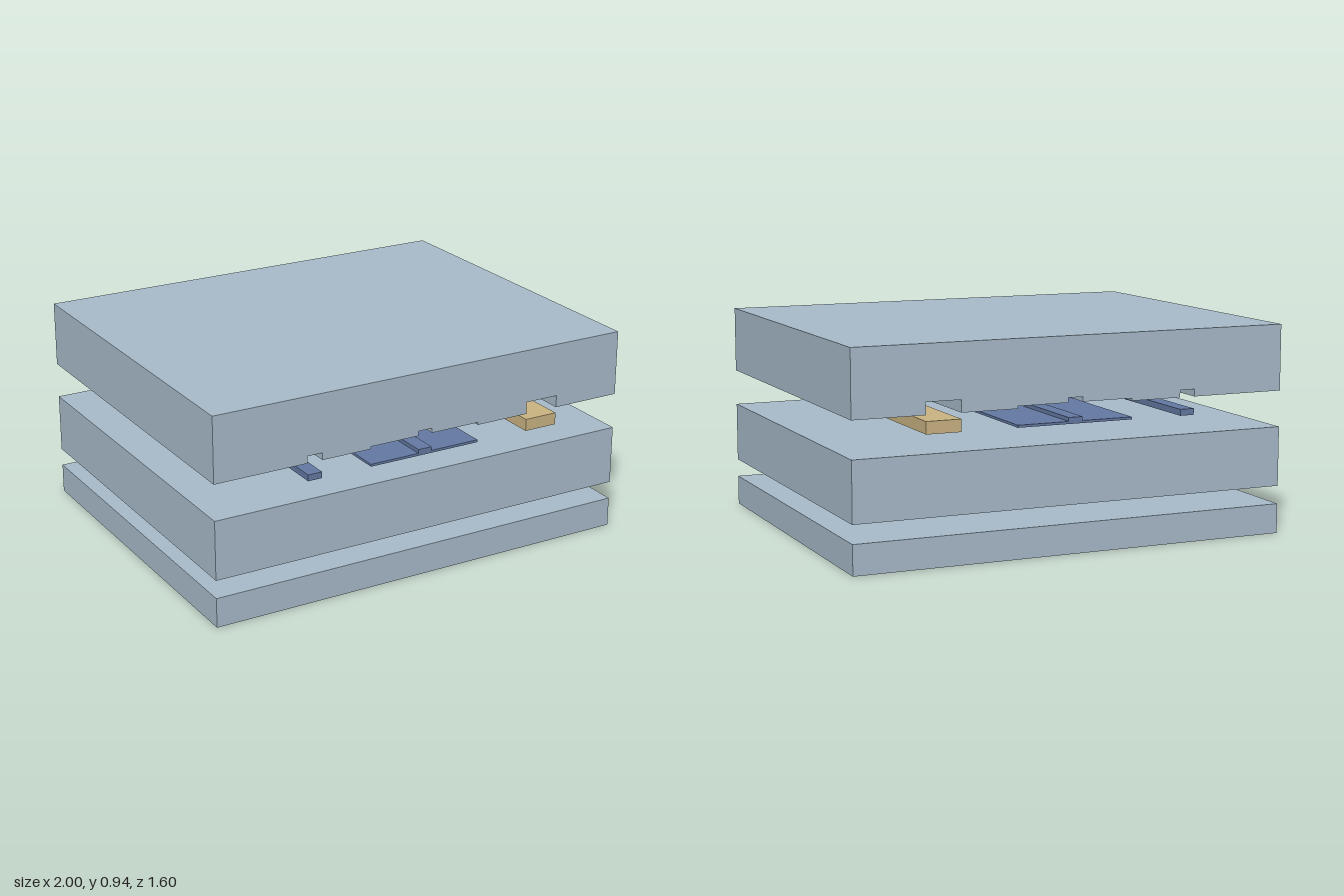
import * as THREE from 'three';

const DEPTH = 1.6;

export function createModel() {
  const group = new THREE.Group();
  const material = (name, color) => {
    const m = new THREE.MeshStandardMaterial({ color });
    m.name = name;
    return m;
  };
  const slabBlue = material('slab blue grey', 0xa8bbca);
  const layerBlue = material('layer slate blue', 0x6479a3);
  const tan = material('block tan', 0xcbb483);

  // Extrudes an x-y cross-section along the whole depth
  function addProfile(name, points, mat) {
    const shape = new THREE.Shape(points.map(([x, y]) => new THREE.Vector2(x, y)));
    const geometry = new THREE.ExtrudeGeometry(shape, { depth: DEPTH, bevelEnabled: false });
    geometry.translate(0, 0, -DEPTH / 2);
    const mesh = new THREE.Mesh(geometry, mat);
    mesh.name = name;
    group.add(mesh);
  }

  function addBar(name, x0, x1, y0, y1, mat) {
    const mesh = new THREE.Mesh(new THREE.BoxGeometry(x1 - x0, y1 - y0, DEPTH), mat);
    mesh.position.set((x0 + x1) / 2, (y0 + y1) / 2, 0);
    mesh.name = name;
    group.add(mesh);
  }

  // Plain lower slabs
  addBar('baseSlab', -1, 1, 0, 0.133, slabBlue);
  addBar('middleSlab', -1, 1, 0.214, 0.48, slabBlue);

  // Floating strips between the slabs
  const y = 0.561;
  addBar('narrowStrip', -0.568, -0.502, y, 0.589, layerBlue);
  addBar('tallBlock', 0.52, 0.677, y, 0.615, tan);
  addProfile('ridgedPlate', [
    [-0.267, y], [0.267, y], [0.267, 0.572], [0.033, 0.572],
    [0.033, 0.589], [-0.033, 0.589], [-0.033, 0.572], [-0.267, 0.572],
  ], layerBlue);

  // Top slab with matching grooves on its underside
  const b = 0.641, step = 0.652, groove = 0.673, deep = 0.695;
  addProfile('groovedTopSlab', [
    [-1, b], [-0.57, b], [-0.57, groove], [-0.5, groove], [-0.5, b],
    [-0.267, b], [-0.267, step], [-0.034, step], [-0.034, groove],
    [0.034, groove], [0.034, step], [0.267, step], [0.267, b],
    [0.52, b], [0.52, deep], [0.678, deep], [0.678, b], [1, b],
    [1, 0.935], [-1, 0.935],
  ], slabBlue);

  return group;
}
